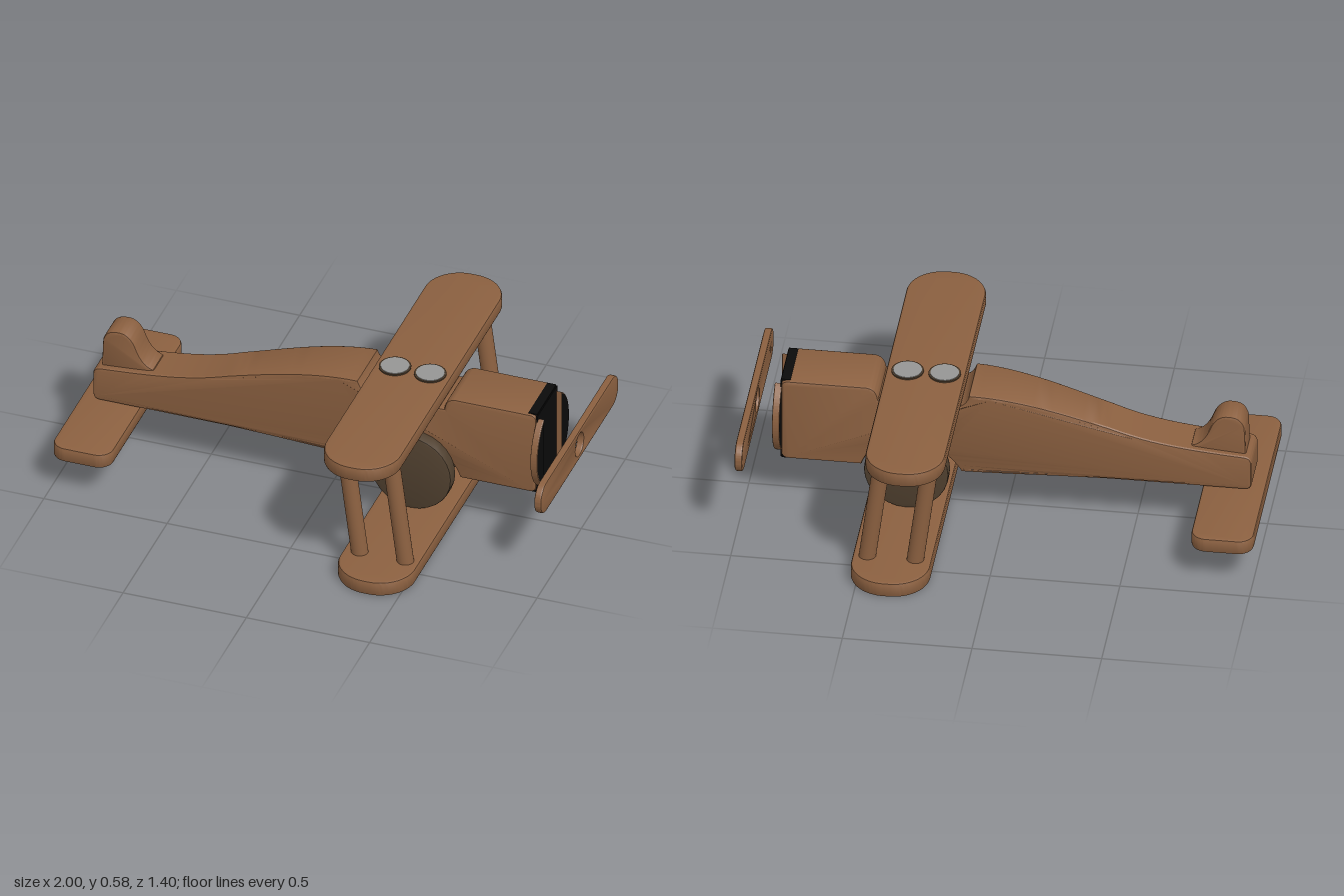
import * as THREE from 'three';
import { toCreasedNormals } from 'three/addons/utils/BufferGeometryUtils.js';

function material(name, color) {
  const m = new THREE.MeshStandardMaterial({ color });
  m.name = name;
  return m;
}

// Extrusion centred on z = 0 with softened edges; the outline keeps its size
function slab(shape, depth, bevel) {
  const geo = new THREE.ExtrudeGeometry(shape, {
    depth: depth - 2 * bevel, bevelEnabled: bevel > 0, bevelThickness: bevel,
    bevelSize: bevel, bevelOffset: -bevel, bevelSegments: 2, curveSegments: 14,
  });
  return geo.translate(0, 0, -(depth - 2 * bevel) / 2);
}

function roundedRect(w, h, r) {
  const s = new THREE.Shape(), x = w / 2, y = h / 2;
  s.moveTo(x, -y + r);
  s.absarc(x - r, y - r, r, 0, Math.PI / 2);
  s.absarc(-x + r, y - r, r, Math.PI / 2, Math.PI);
  s.absarc(-x + r, -y + r, r, Math.PI, Math.PI * 1.5);
  s.absarc(x - r, -y + r, r, Math.PI * 1.5, Math.PI * 2);
  return s;
}

export function createModel() {
  const model = new THREE.Group();
  model.name = 'woodenBiplane';
  const wood = material('wood', 0x8b6040);
  const dark = material('darkWood', 0x50402f);
  const black = material('black', 0x0b0b0b);
  const grey = material('greyMetal', 0x969694);
  const steel = material('darkMetal', 0x55565a);

  function add(name, geo, mat, x = 0, y = 0, z = 0) {
    const mesh = new THREE.Mesh(geo, mat);
    mesh.name = name;
    mesh.position.set(x, y, z);
    model.add(mesh);
    return mesh;
  }

  // Fuselage: side outline with a wing notch on top and a wheel arch below
  const side = new THREE.Shape();
  side.moveTo(-0.92, 0.21);
  for (const x of [-0.7, -0.4, -0.2, 0, 0.1, 0.165]) side.lineTo(x, 0.21);
  side.quadraticCurveTo(0.2, 0.27, 0.26, 0.31);
  side.quadraticCurveTo(0.37, 0.36, 0.48, 0.31);
  side.quadraticCurveTo(0.53, 0.27, 0.55, 0.21);
  side.lineTo(0.83, 0.21);
  side.quadraticCurveTo(0.86, 0.21, 0.86, 0.24);
  side.lineTo(0.86, 0.54);
  side.quadraticCurveTo(0.86, 0.565, 0.83, 0.565);
  side.lineTo(0.53, 0.565);
  side.quadraticCurveTo(0.49, 0.56, 0.485, 0.513);
  side.lineTo(0.175, 0.513);
  side.quadraticCurveTo(0.15, 0.52, 0.135, 0.562);
  side.bezierCurveTo(-0.05, 0.56, -0.25, 0.49, -0.4, 0.445);
  side.bezierCurveTo(-0.55, 0.39, -0.68, 0.375, -0.92, 0.358);
  side.quadraticCurveTo(-0.95, 0.355, -0.95, 0.325);
  side.lineTo(-0.95, 0.24);
  side.quadraticCurveTo(-0.95, 0.21, -0.92, 0.21);
  const body = slab(side, 0.24, 0.012);
  const p = body.attributes.position;
  for (let i = 0; i < p.count; i++) {
    // Narrow the body towards the tail
    const t = THREE.MathUtils.smoothstep(p.getX(i), -0.5, 0.25);
    p.setZ(i, p.getZ(i) * (0.73 + 0.27 * t));
  }
  body.computeVertexNormals();
  add('fuselage', toCreasedNormals(body, 0.5), wood);

  // Black nose facing, wrapped over the top and bottom edges
  add('noseFace', new THREE.BoxGeometry(0.006, 0.345, 0.225), black, 0.86, 0.3875, 0);
  for (const y of [0.211, 0.5645]) {
    add('noseEdge', new THREE.BoxGeometry(0.036, 0.006, 0.216), black, 0.842, y, 0);
  }

  // Engine cowl: a crescent on each side of the nose
  const a = Math.acos(0.1 / 0.183);
  for (const s of [1, -1]) {
    const crescent = new THREE.Shape();
    crescent.absarc(0, 0, 0.183, -a, a);
    crescent.closePath();
    const geo = slab(crescent, 0.028, 0.004).rotateY(-s * Math.PI / 2);
    add(s > 0 ? 'leftCowl' : 'rightCowl', geo, [black, wood], 0.872, 0.39, 0);
  }

  // Propeller with a round hub hole
  const blade = roundedRect(0.88, 0.13, 0.064);
  const hub = new THREE.Path();
  hub.absarc(0, 0, 0.047, 0, Math.PI * 2, true);
  blade.holes.push(hub);
  add('propeller', toCreasedNormals(slab(blade, 0.03, 0.007).rotateY(Math.PI / 2), 0.5),
    wood, 0.98, 0.39, 0);

  // Wings and tailplane lie flat
  const flat = (name, w, len, r, x, y) => add(name,
    toCreasedNormals(slab(roundedRect(w, len, r), 0.062, 0.01).rotateX(-Math.PI / 2), 0.5),
    wood, x, y, 0);
  flat('upperWing', 0.305, 1.4, 0.142, 0.318, 0.546);
  flat('lowerWing', 0.305, 1.4, 0.142, 0.375, 0.034);
  flat('tailplane', 0.24, 0.875, 0.06, -0.88, 0.176);

  // Tail fin
  const fin = new THREE.Shape();
  fin.moveTo(-0.925, 0.34);
  fin.lineTo(-0.92, 0.47);
  fin.quadraticCurveTo(-0.91, 0.52, -0.86, 0.52);
  fin.quadraticCurveTo(-0.81, 0.525, -0.785, 0.46);
  fin.quadraticCurveTo(-0.76, 0.39, -0.715, 0.38);
  fin.lineTo(-0.7, 0.34);
  add('tailFin', toCreasedNormals(slab(fin, 0.12, 0.01), 0.5), wood);

  // Slanted wing struts and the wheels
  const up = new THREE.Vector3(0, 1, 0);
  for (const s of [1, -1]) {
    for (const dx of [0, 0.185]) {
      const low = new THREE.Vector3(0.288 + dx, 0.05, 0);
      const dir = new THREE.Vector3(0.226 + dx, 0.53, 0).sub(low);
      const strut = add('strut', new THREE.CylinderGeometry(0.033, 0.033, dir.length(), 24),
        wood, low.x + dir.x / 2, low.y + dir.y / 2, s * 0.515);
      strut.quaternion.setFromUnitVectors(up, dir.normalize());
    }
    const disc = new THREE.Shape();
    disc.absarc(0, 0, 0.163, 0, Math.PI * 2);
    add(s > 0 ? 'leftWheel' : 'rightWheel', toCreasedNormals(slab(disc, 0.056, 0.006), 0.6),
      dark, 0.37, 0.227, s * 0.145);
  }
  add('axle', new THREE.CylinderGeometry(0.014, 0.014, 0.27, 16).rotateX(Math.PI / 2),
    dark, 0.37, 0.227, 0);

  // Round cockpit caps on the wing, screw head under the tail
  for (const x of [0.245, 0.388]) {
    add('cockpitRim', new THREE.CylinderGeometry(0.062, 0.062, 0.008, 32), dark, x, 0.578, 0);
    add('cockpitCap', new THREE.CylinderGeometry(0.055, 0.057, 0.01, 32), grey, x, 0.579, 0);
  }
  add('tailScrew', new THREE.CylinderGeometry(0.045, 0.04, 0.008, 24), steel, -0.87, 0.144, 0);

  return model;
}
